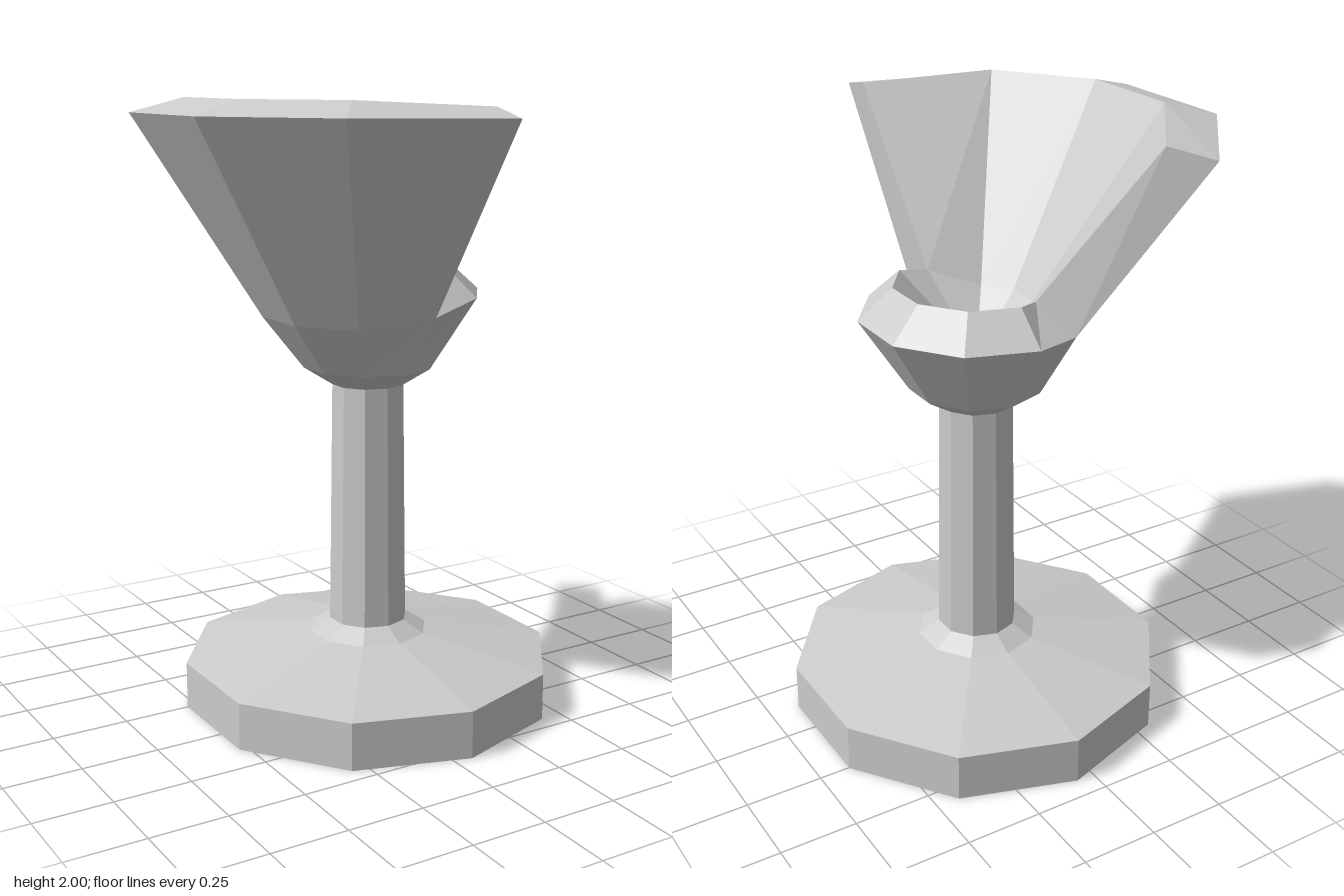
import * as THREE from 'three';

const SIDES = 10;
const AXIS = [0.06, -0.06]; // the stem stands slightly off centre

// Corner k of a ten-sided ring, counted from the back towards the left (+x)
function corner(k, r, y) {
  const a = (k / SIDES) * Math.PI * 2;
  return [AXIS[0] + r * Math.sin(a), y, AXIS[1] - r * Math.cos(a)];
}

function createCup(material) {
  const pos = [];
  const quad = (a, b, c, d) => pos.push(...a, ...b, ...c, ...a, ...c, ...d);
  const centre = corner(0, 0, 1.24);

  // Corners where the wall is broken: low outer, high outer, high inner, low inner
  const breaks = {
    5: [[0.09, 1.34, 0.29], [0.105, 1.95, 0.68], [0.125, 1.98, 0.535], [0.11, 1.46, 0.155]],
    9: [[-0.1, 1.37, -0.375], [-0.34, 1.95, -0.69], [-0.24, 1.98, -0.58], [-0.03, 1.46, -0.26]],
  };

  // Cross-section of the wall at corner k, from the underside over the rim to the centre
  function section(k, tall) {
    const foot = [corner(k, 0.12, 1.08), corner(k, 0.215, 1.14)];
    let wall;
    if (breaks[k]) {
      wall = tall ? breaks[k] : [breaks[k][0], breaks[k][3]];
    } else if (tall) {
      wall = [corner(k, 0.347, 1.31), corner(k, 0.75, 1.955), corner(k, 0.58, 2), corner(k, 0.18, 1.4)];
    } else {
      wall = [corner(k, 0.37, 1.38), corner(k, 0.26, 1.48)];
    }
    return [...foot, ...wall, centre];
  }

  for (let k = 0; k < SIDES; k++) {
    const tall = k >= 5 && k < 9;
    const a = section(k, tall);
    const b = section((k + 1) % SIDES, tall);
    for (let i = 0; i < a.length - 2; i++) quad(b[i], a[i], a[i + 1], b[i + 1]);
    const n = a.length - 2;
    pos.push(...b[n], ...a[n], ...centre);
  }

  // End faces of the broken wall
  const [p, P, Q, q] = breaks[5];
  quad(p, q, Q, P);
  quad(...breaks[9]);

  const geometry = new THREE.BufferGeometry();
  geometry.setAttribute('position', new THREE.Float32BufferAttribute(pos, 3));
  geometry.computeVertexNormals();
  const mesh = new THREE.Mesh(geometry, material);
  mesh.name = 'brokenCup';
  return mesh;
}

export function createModel() {
  const group = new THREE.Group();
  group.name = 'brokenGoblet';
  const material = new THREE.MeshStandardMaterial({ color: 0xcccccc, flatShading: true });

  function turned(name, profile) {
    const points = profile.map(([r, y]) => new THREE.Vector2(r, y));
    const mesh = new THREE.Mesh(new THREE.LatheGeometry(points, SIDES), material);
    mesh.position.set(AXIS[0], 0, AXIS[1]);
    mesh.name = name;
    group.add(mesh);
  }

  // Wide foot with a shallow sloping top and a small collar
  turned('base', [[0, 0], [0.62, 0], [0.62, 0.155], [0.2, 0.235], [0.131, 0.275]]);
  // Slightly tapered stem
  turned('stem', [[0.131, 0.275], [0.12, 1.08]]);
  // Cup with one side broken away
  group.add(createCup(material));

  return group;
}
